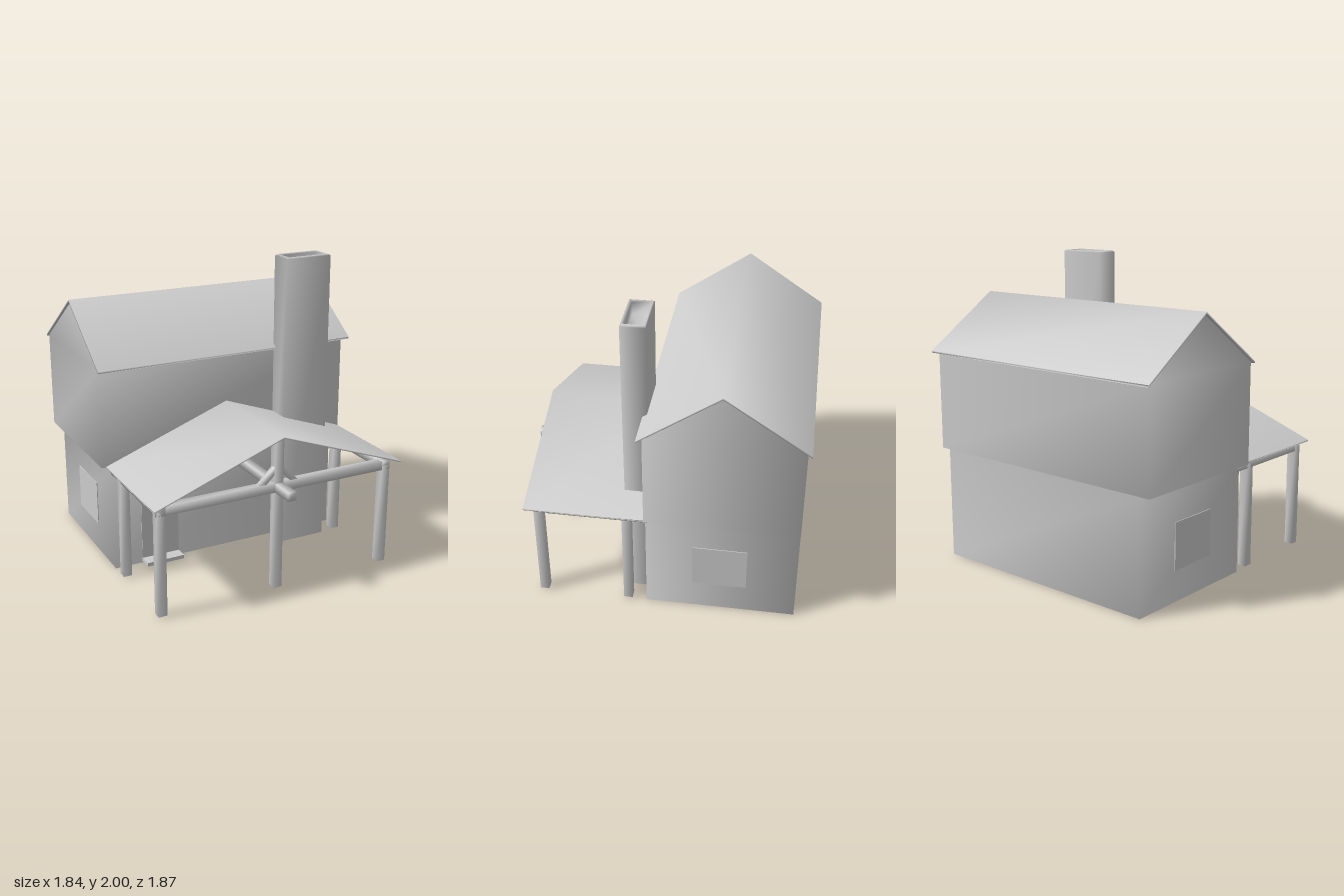
import * as THREE from 'three';
import { mergeVertices } from 'three/addons/utils/BufferGeometryUtils.js';

const material = new THREE.MeshStandardMaterial({ color: 0xcccccc, side: THREE.DoubleSide });

function add(parent, name, geometry) {
  const mesh = new THREE.Mesh(geometry, material);
  mesh.name = name;
  parent.add(mesh);
  return mesh;
}

// Share corner vertices so the shading runs softly round the edges
function soften(geometry) {
  geometry.deleteAttribute('normal');
  geometry.deleteAttribute('uv');
  const merged = mergeVertices(geometry, 1e-4);
  merged.computeVertexNormals();
  return merged;
}

// Box given by its limits on each axis
function box(x1, x2, y1, y2, z1, z2) {
  return new THREE.BoxGeometry(x2 - x1, y2 - y1, z2 - z1)
    .translate((x1 + x2) / 2, (y1 + y2) / 2, (z1 + z2) / 2);
}

// Skin of stacked rectangles [x1, x2, z1, z2, y]
function stack(rings, extraPoints = [], extraFaces = []) {
  const points = [], faces = [];
  rings.forEach(([x1, x2, z1, z2, y], i) => {
    points.push(x1, y, z2, x2, y, z2, x2, y, z1, x1, y, z1);
    if (i === 0) return;
    for (let j = 0; j < 4; j++) {
      const a = (i - 1) * 4 + j, b = (i - 1) * 4 + (j + 1) % 4;
      faces.push(a, b, b + 4, a, b + 4, a + 4);
    }
  });
  const g = new THREE.BufferGeometry();
  g.setAttribute('position', new THREE.Float32BufferAttribute([...points, ...extraPoints], 3));
  g.setIndex([...faces, ...extraFaces]);
  g.computeVertexNormals();
  return g;
}

// Thin two-sided pitched slab, ridge along z
function pitchedRoof(left, ridge, right, eaveY, ridgeY, depth, t) {
  const shape = new THREE.Shape([
    [left, eaveY], [left, eaveY - t], [ridge, ridgeY - t],
    [right, eaveY - t], [right, eaveY], [ridge, ridgeY],
  ].map(([x, y]) => new THREE.Vector2(x, y)));
  return soften(new THREE.ExtrudeGeometry(shape, { depth, bevelEnabled: false }));
}

export function createModel() {
  const model = new THREE.Group();
  model.name = 'house';

  // Walls: inset lower storey, wider upper storey, gable peaks on both ends
  const back = -0.91, front = 0.06;
  add(model, 'walls', stack([
    [-0.84, 0.8, back, front, 0],
    [-0.84, 0.8, back, front, 0.73],
    [-0.91, 0.87, back, front, 0.73],
    [-0.91, 0.87, back, front, 1.38],
  ], [-0.91, 1.71, -0.415, 0.87, 1.71, -0.415], [15, 12, 16, 13, 14, 17]));

  // Main roof, ridge along x
  add(model, 'mainRoof', pitchedRoof(-0.09, 0.415, 0.935, 1.38, 1.73, 1.835, 0.013)
    .rotateY(Math.PI / 2).translate(-0.92, 0, 0));

  // Chimney with a hollow top
  add(model, 'chimney', stack([
    [0.335, 0.665, 0.06, 0.213, 0],
    [0.335, 0.665, 0.06, 0.213, 1.99],
    [0.355, 0.645, 0.066, 0.207, 2],
    [0.372, 0.628, 0.073, 0.192, 1.99],
    [0.372, 0.628, 0.073, 0.192, 1.91],
  ], [], [16, 17, 18, 16, 18, 19]));

  // Door, step and side windows
  add(model, 'door', box(-0.65, -0.385, 0.03, 0.47, 0.05, 0.065));
  add(model, 'doorStep', box(-0.65, -0.385, 0.01, 0.035, 0.05, 0.15));
  add(model, 'leftWindow', box(0.79, 0.805, 0.2, 0.5, -0.59, -0.24));
  add(model, 'rightWindow', box(-0.845, -0.83, 0.2, 0.5, -0.59, -0.24));

  // Porch
  const porch = new THREE.Group();
  porch.name = 'porch';
  model.add(porch);
  const mid = -0.02, r = 0.029;

  add(porch, 'porchRoof', pitchedRoof(-0.88, mid, 0.86, 0.735, 1.05, 0.77, 0.01)
    .translate(0, 0, 0.06));

  for (const x of [-0.815, 0.777]) {
    for (const z of [0.182, 0.75]) {
      add(porch, 'post', soften(box(x - r, x + r, 0.01, 0.7, z - r, z + r)));
    }
    add(porch, 'sideBeam', soften(box(x - r, x + r, 0.672, 0.73, 0.04, 0.779)));
  }
  add(porch, 'middlePost', soften(box(mid - r, mid + r, 0.01, 1.035, 0.75 - r, 0.75 + r)));
  add(porch, 'middleBeam', soften(box(mid - r, mid + r, 0.672, 0.73, 0.04, 0.935)));
  add(porch, 'frontBeam', soften(box(-0.844, 0.806, 0.672, 0.73, 0.75 - r, 0.75 + r)));

  // Diagonal braces either side of the middle post
  for (const side of [-1, 1]) {
    const brace = add(porch, 'brace', soften(box(-0.018, 0.018, -0.1, 0.1, -0.018, 0.018)));
    brace.position.set(mid + side * 0.065, 0.775, 0.75);
    brace.rotation.z = side * Math.PI / 4;
  }

  return model;
}
